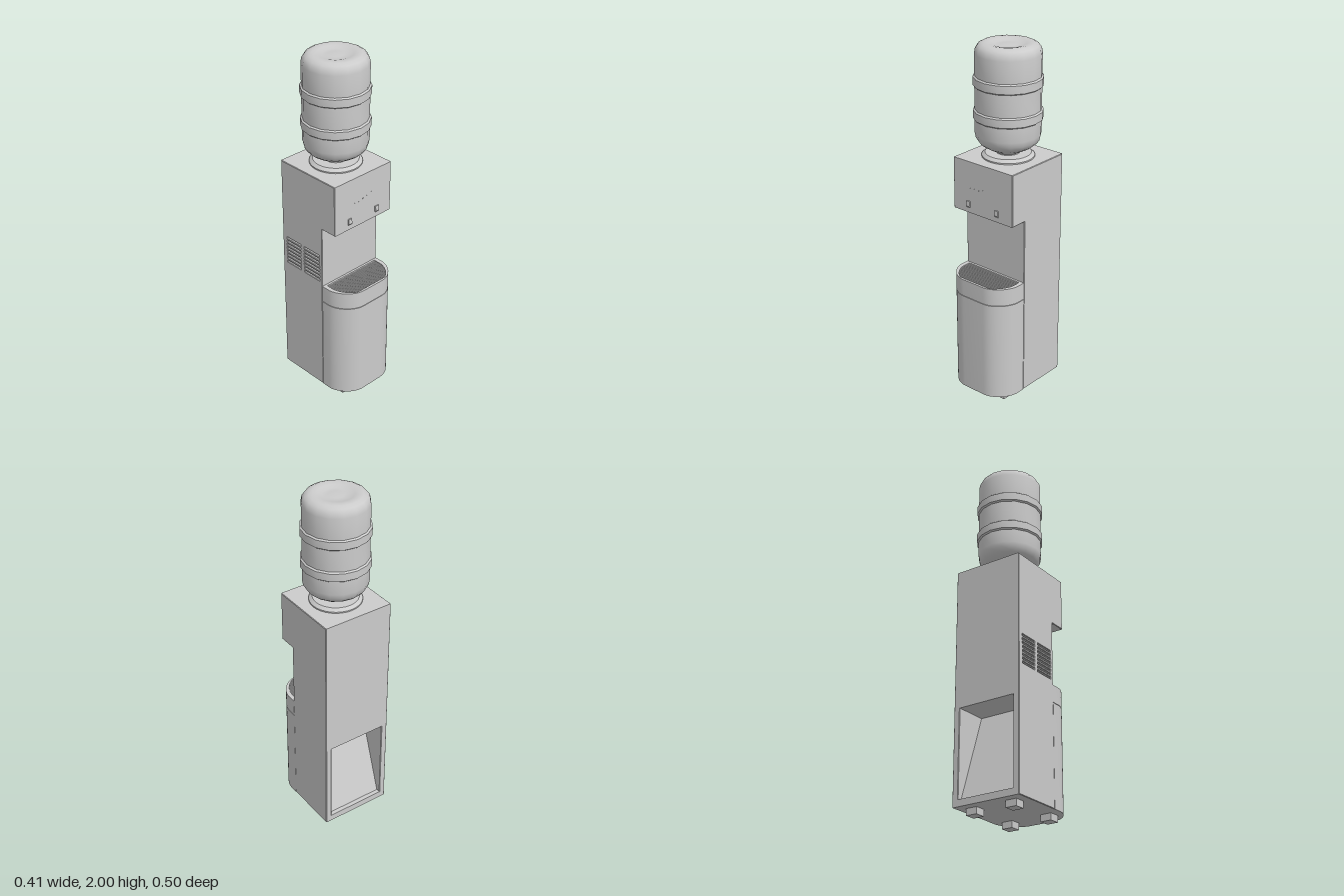
import * as THREE from 'three';
import { toCreasedNormals } from 'three/addons/utils/BufferGeometryUtils.js';

const material = new THREE.MeshStandardMaterial({ color: 0xcccccc });
const BOTTLE_Z = -0.043;

export function createModel() {
  const model = new THREE.Group();

  const add = (name, geometry, x = 0, y = 0, z = 0) => {
    const mesh = new THREE.Mesh(geometry, material);
    mesh.name = name;
    mesh.position.set(x, y, z);
    model.add(mesh);
    return mesh;
  };
  const polygon = (pts) => new THREE.Shape(pts.map(([a, b]) => new THREE.Vector2(a, b)));

  // Side profile (z, y) extruded across x
  const acrossX = (shape, xMin, xMax, bevel = 0) => {
    const g = new THREE.ExtrudeGeometry(shape, {
      depth: xMax - xMin - 2 * bevel, bevelEnabled: bevel > 0,
      bevelThickness: bevel, bevelSize: bevel, bevelOffset: -bevel, bevelSegments: 1,
    });
    return g.rotateY(-Math.PI / 2).translate(xMax - bevel, 0, 0);
  };
  // Plan outline (x, z) extruded between two heights
  const upright = (shape, yMin, yMax) => {
    const g = new THREE.ExtrudeGeometry(shape, { depth: yMax - yMin, bevelEnabled: false, curveSegments: 12 });
    return toCreasedNormals(g.rotateX(Math.PI / 2).translate(0, yMax, 0), 0.6);
  };
  const lathe = (pts, segments) =>
    toCreasedNormals(new THREE.LatheGeometry(pts.map(([r, y]) => new THREE.Vector2(r, y)), segments), 0.6);

  // Cabinet: column with overhanging head
  const front = [[0.065, 0.037], [0.065, 1.083], [0.165, 1.083], [0.165, 1.378], [-0.25, 1.378]];
  const sideProfile = () => polygon([...front, [-0.25, 0.037]]);
  const recess = [[-0.25, 0.57], [-0.06, 0.57], [-0.225, 0.075], [-0.25, 0.075]];
  add('cabinetCore', acrossX(polygon([...front, ...recess, [-0.25, 0.037]]), -0.174, 0.174));
  add('leftSidePanel', acrossX(sideProfile(), 0.171, 0.207, 0.003));

  // Right panel with two columns of vent slots
  const vented = sideProfile();
  for (const [z0, z1] of [[-0.217, -0.107], [-0.077, 0.043]]) {
    for (let i = 0; i < 8; i++) {
      const y = 0.745 + i * 0.022;
      vented.holes.push(new THREE.Path([[z0, y], [z0, y + 0.009], [z1, y + 0.009], [z1, y]]
        .map(([a, b]) => new THREE.Vector2(a, b))));
    }
  }
  add('ventedSidePanel', acrossX(vented, -0.207, -0.171, 0.003));

  // Rounded lower front and drip tray
  const outline = () => {
    const s = new THREE.Shape();
    s.moveTo(-0.206, 0.065);
    s.lineTo(0.206, 0.065);
    s.lineTo(0.206, 0.12);
    s.bezierCurveTo(0.2, 0.18, 0.14, 0.25, 0.07, 0.25);
    s.lineTo(-0.07, 0.25);
    s.bezierCurveTo(-0.14, 0.25, -0.2, 0.18, -0.206, 0.12);
    s.closePath();
    return s;
  };
  const well = new THREE.Shape();
  well.moveTo(-0.182, 0.078);
  well.lineTo(0.182, 0.078);
  well.lineTo(0.182, 0.125);
  well.bezierCurveTo(0.176, 0.175, 0.14, 0.215, 0.105, 0.236);
  well.lineTo(-0.105, 0.236);
  well.bezierCurveTo(-0.14, 0.215, -0.176, 0.175, -0.182, 0.125);
  well.closePath();

  add('lowerFront', upright(outline(), 0.037, 0.616));
  add('trayFloor', upright(well, 0.6, 0.7));
  const rim = outline();
  rim.holes.push(well);
  add('trayRim', upright(rim, 0.619, 0.718));

  // Grille slats follow the width of the tray well
  const edge = well.getPoints(12).filter((p) => p.x > 0 && p.y >= 0.125);
  const halfWidth = (z) => {
    for (let i = 1; i < edge.length; i++) {
      const a = edge[i - 1], b = edge[i];
      if (z >= a.y && z <= b.y) return a.x + (b.x - a.x) * (z - a.y) / (b.y - a.y);
    }
    return 0.182;
  };
  for (let i = 0; i < 14; i++) {
    const z = 0.085 + i * 0.0112;
    add('grilleSlat', new THREE.BoxGeometry(2 * halfWidth(z), 0.013, 0.006), 0, 0.7065, z);
  }

  // Taps: press lever on the face, spout below the head
  for (const x of [-0.1, 0.1]) {
    add('tapLever', acrossX(polygon([[0.16, 1.115], [0.17, 1.115], [0.175, 1.122], [0.172, 1.15], [0.16, 1.15]]),
      x - 0.012, x + 0.012));
    add('tapSpout', new THREE.CylinderGeometry(0.022, 0.016, 0.03, 16), x, 1.083, 0.108);
  }

  // Indicator lights
  for (let i = 0; i < 6; i++) {
    const light = new THREE.CylinderGeometry(0.004, 0.004, 0.002, 12).rotateX(Math.PI / 2);
    add('indicatorLight', light, -0.09 + i * 0.03, 1.225 + 0.001 * i * i, 0.165);
  }

  // Feet
  for (const x of [-0.122, 0.122]) {
    for (const z of [-0.169, 0.139]) {
      add('foot', new THREE.BoxGeometry(0.065, 0.04, 0.063), x, 0.02, z);
    }
  }

  // Collar and water bottle
  add('bottleCollar', lathe([[0.143, 1.375], [0.143, 1.385], [0.125, 1.4], [0.06, 1.4]], 32), 0, 0, BOTTLE_Z);

  const ribAt = (y) => [[0.178, y - 0.029], [0.187, y - 0.022], [0.187, y + 0.022], [0.178, y + 0.029]];
  add('waterBottle', lathe([
    [0.065, 1.39], [0.065, 1.405], [0.135, 1.443], [0.157, 1.46], [0.172, 1.482], [0.178, 1.51],
    ...ribAt(1.617), ...ribAt(1.798),
    [0.178, 1.945], [0.173, 1.97], [0.16, 1.988], [0.14, 1.998], [0.12, 2.0],
    [0.095, 1.996], [0.07, 1.988], [0.04, 1.988], [0, 1.994],
  ], 16), 0, 0, BOTTLE_Z);

  return model;
}
